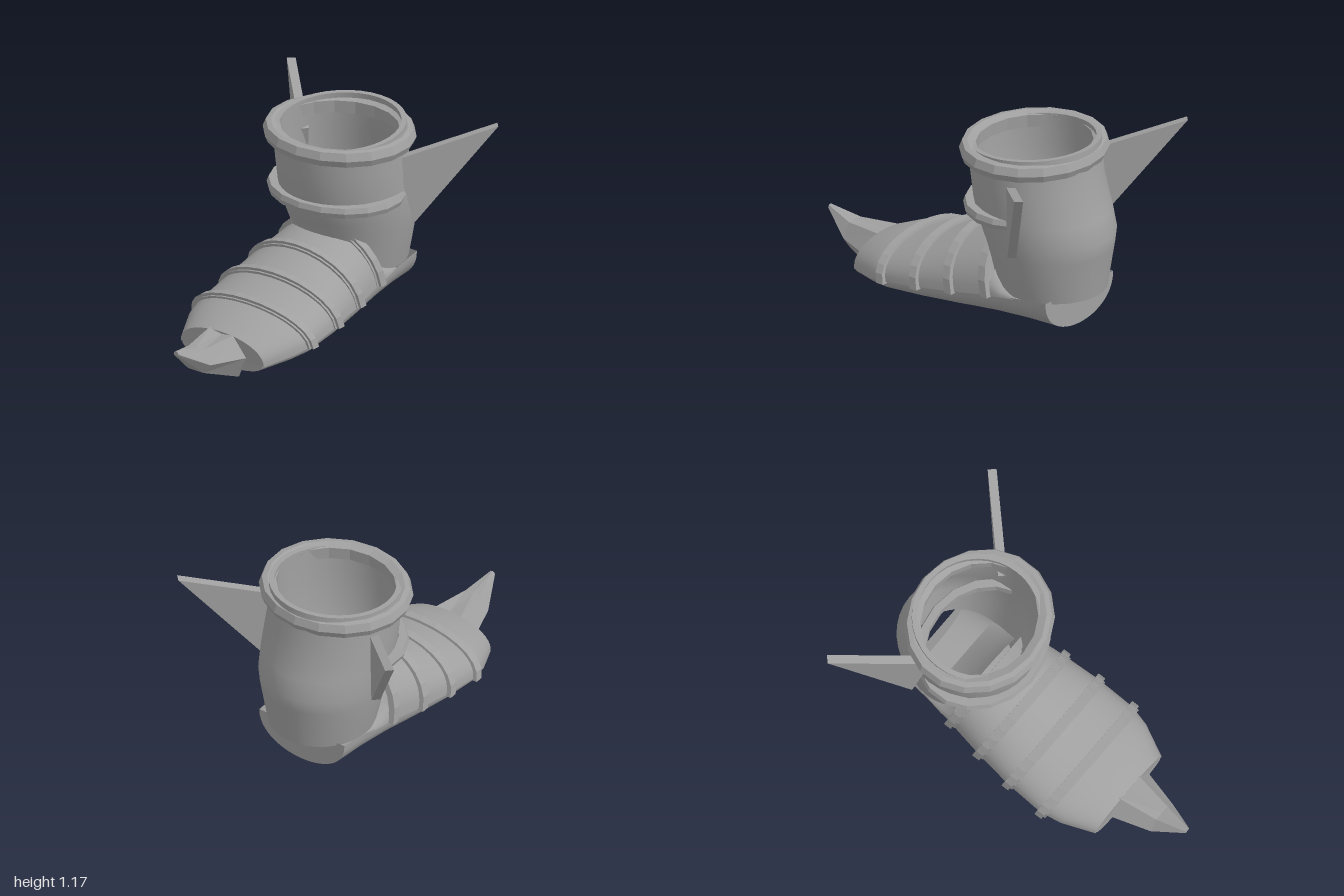
import * as THREE from 'three';

const steel = new THREE.MeshStandardMaterial({ color: 0xa0a0a0, side: THREE.DoubleSide });
steel.name = 'steel';

// Skin a list of equal-length cross-sections; closed joins each section to itself.
function loft(rows, { closed = false, flat = false, caps = [false, false] } = {}) {
  const n = rows[0].length, pos = [], index = [];
  rows.forEach(r => r.forEach(p => pos.push(...p)));
  for (let i = 0; i < rows.length - 1; i++) {
    for (let j = 0; j < (closed ? n : n - 1); j++) {
      const a = i * n + j, b = i * n + (j + 1) % n, c = a + n, d = b + n;
      index.push(a, b, c, b, d, c);
    }
  }
  // End caps get their own vertices so the edge stays sharp
  [rows[0], rows[rows.length - 1]].forEach((row, k) => {
    if (!caps[k]) return;
    const start = pos.length / 3;
    row.forEach(p => pos.push(...p));
    const mid = [0, 1, 2].map(c => row.reduce((s, p) => s + p[c], 0) / n);
    pos.push(...mid);
    for (let j = 0; j < n; j++) {
      const a = start + j, b = start + (j + 1) % n;
      if (k) index.push(a, b, start + n); else index.push(b, a, start + n);
    }
  });
  let g = new THREE.BufferGeometry();
  g.setAttribute('position', new THREE.Float32BufferAttribute(pos, 3));
  g.setIndex(index);
  if (flat) g = g.toNonIndexed();
  g.computeVertexNormals();
  return g;
}

// Half arch over the foot (negative h hangs below); lean tips it forward with height
function arch(z, w, base, h, lean = 0.25, n = 24) {
  return Array.from({ length: n + 1 }, (_, i) => {
    const t = Math.PI * i / n, s = Math.pow(Math.max(0, Math.sin(t)), 0.88);
    return [w * Math.cos(t), base + h * s, z + lean * Math.abs(h) * s];
  });
}

function ellipse(y, front, back, rx, inset = 0, slope = 0, n = 36) {
  const c = (front + back) / 2, rz = (front - back) / 2 - inset;
  return Array.from({ length: n }, (_, i) => {
    const t = 2 * Math.PI * i / n, z = c + rz * Math.cos(t);
    return [(rx - inset) * Math.sin(t), y + slope * (front - z), z];
  });
}

export function createModel() {
  const boot = new THREE.Group();
  boot.name = 'armouredBoot';
  const add = (name, geometry, parent = boot) => {
    const m = new THREE.Mesh(geometry, steel);
    m.name = name;
    parent.add(m);
    return m;
  };

  // Ankle shaft: y, front z, back z, half width
  const levels = [
    [0.30, -0.30, -0.93, 0.30], [0.42, -0.28, -0.945, 0.325], [0.55, -0.245, -0.965, 0.35],
    [0.64, -0.20, -0.98, 0.36], [0.76, -0.155, -0.945, 0.37], [0.95, -0.13, -0.88, 0.37],
  ];
  const top = [1.12, -0.12, -0.86, 0.37];
  add('shaft', loft([...levels.map(l => ellipse(...l)), ellipse(...top, 0, 0.07)], { closed: true }));
  add('shaftLip', loft([ellipse(...top, 0, 0.07), ellipse(...top, 0.03, 0.07)], { closed: true }));
  add('shaftLining', loft([ellipse(...top, 0.03, 0.07),
    ...levels.slice().reverse().map(l => ellipse(...l, 0.03))], { closed: true }));

  // Faceted rings around the shaft
  const ring = (name, profile, z, depth) => {
    const g = new THREE.LatheGeometry(profile.map(p => new THREE.Vector2(...p)), 18).toNonIndexed();
    g.scale(1, 1, depth);
    g.translate(0, 0, z);
    g.computeVertexNormals();
    add(name, g);
  };
  ring('rimRing', [[0.35, 1.05], [0.425, 1.05], [0.443, 1.09], [0.425, 1.135], [0.395, 1.14],
    [0.345, 1.125], [0.35, 1.05]], -0.485, 0.91);
  ring('ankleRing', [[0.35, 0.73], [0.40, 0.73], [0.412, 0.76], [0.40, 0.79], [0.35, 0.79],
    [0.35, 0.73]], -0.46, 0.855);

  // Foot upper: z, half width, base height, arch height
  const upper = [
    [0.58, 0.29, 0.12, 0.14, 0.1], [0.40, 0.372, 0.15, 0.175], [0.28, 0.40, 0.17, 0.18],
    [0.04, 0.395, 0.205, 0.225], [-0.19, 0.37, 0.24, 0.28], [-0.42, 0.335, 0.275, 0.32],
  ];
  add('footUpper', loft(upper.map(s => arch(...s)), { caps: [true, false] }));
  add('ankleFlare', loft([
    arch(-0.42, 0.33, 0.27, 0.21, 0), arch(-0.5, 0.325, 0.28, 0.10, 0), arch(-0.61, 0.305, 0.29, 0.015, 0),
  ]));

  // Raised bands across the foot
  const bands = new THREE.Group();
  bands.name = 'footBands';
  boot.add(bands);
  upper.slice(2).forEach(([z, w, base, h], i) => {
    const o = 0.027, k = 0.024;
    const edge = (dz, grow) => arch(z + dz, w + grow, base - 0.005, h + grow, 0.25, 14);
    const low = edge(k, -0.01), rows = [low, edge(k, o), edge(-k, o), edge(-k, -0.01), low];
    add('footBand' + (i + 1), loft(rows, { flat: true }), bands);
    // Narrow step beside each band
    add('bandStep' + (i + 1), loft([edge(k + 0.014, -0.005), edge(k + 0.014, 0.01), edge(k, 0.01)],
      { flat: true }), bands);
    // Close the two ends of the band
    [0, 14].forEach(j => add('bandEnd', loft([[rows[0][j], rows[1][j]], [rows[3][j], rows[2][j]]]), bands));
  });

  // Rounded sole: z, half width, upper edge, depth
  const sole = [
    [0.58, 0.28, 0.12, -0.07], [0.40, 0.36, 0.15, -0.09], [0.28, 0.39, 0.168, -0.106],
    [0.04, 0.385, 0.203, -0.13], [-0.19, 0.36, 0.238, -0.153], [-0.42, 0.33, 0.277, -0.177],
    [-0.62, 0.305, 0.30, -0.195], [-0.81, 0.29, 0.32, -0.215],
  ];
  add('sole', loft(sole.map(s => arch(...s, 0)), { caps: [true, true] }));

  // Upturned toe spike: z, then half width and height of bottom, middle and top corners
  const spike = [
    [0.56, 0.10, 0.0, 0.168, 0.14, 0.09, 0.262], [0.82, 0.055, 0.105, 0.10, 0.165, 0.05, 0.245],
    [1.0, 0.012, 0.262, 0.018, 0.272, 0.012, 0.283],
  ].map(([z, b, yb, m, ym, t, yt], i) => [
    [-b, yb, z], [b, yb, z], [m, ym, z + (i ? 0 : 0.02)], [t, yt, z],
    [0, yt + (i ? 0.004 : -0.015), z], [-t, yt, z], [-m, ym, z + (i ? 0 : 0.02)],
  ]);
  add('toeSpike', loft(spike, { closed: true, flat: true, caps: [true, true] }));

  // Swept-back side wings, mirrored
  const outline = new THREE.Shape([[0, 0.98], [0.1, 0.59], [0.57, 1.15]].map(p => new THREE.Vector2(...p)));
  for (const side of [1, -1]) {
    const g = new THREE.ExtrudeGeometry(outline, { depth: 0.05, bevelEnabled: false });
    g.translate(0, 0, -0.025);
    const wing = add(side > 0 ? 'leftWing' : 'rightWing', g);
    wing.position.set(side * 0.32, 0, -0.58);
    wing.rotation.y = side > 0 ? Math.PI / 4 : Math.PI * 3 / 4;
  }
  return boot;
}
